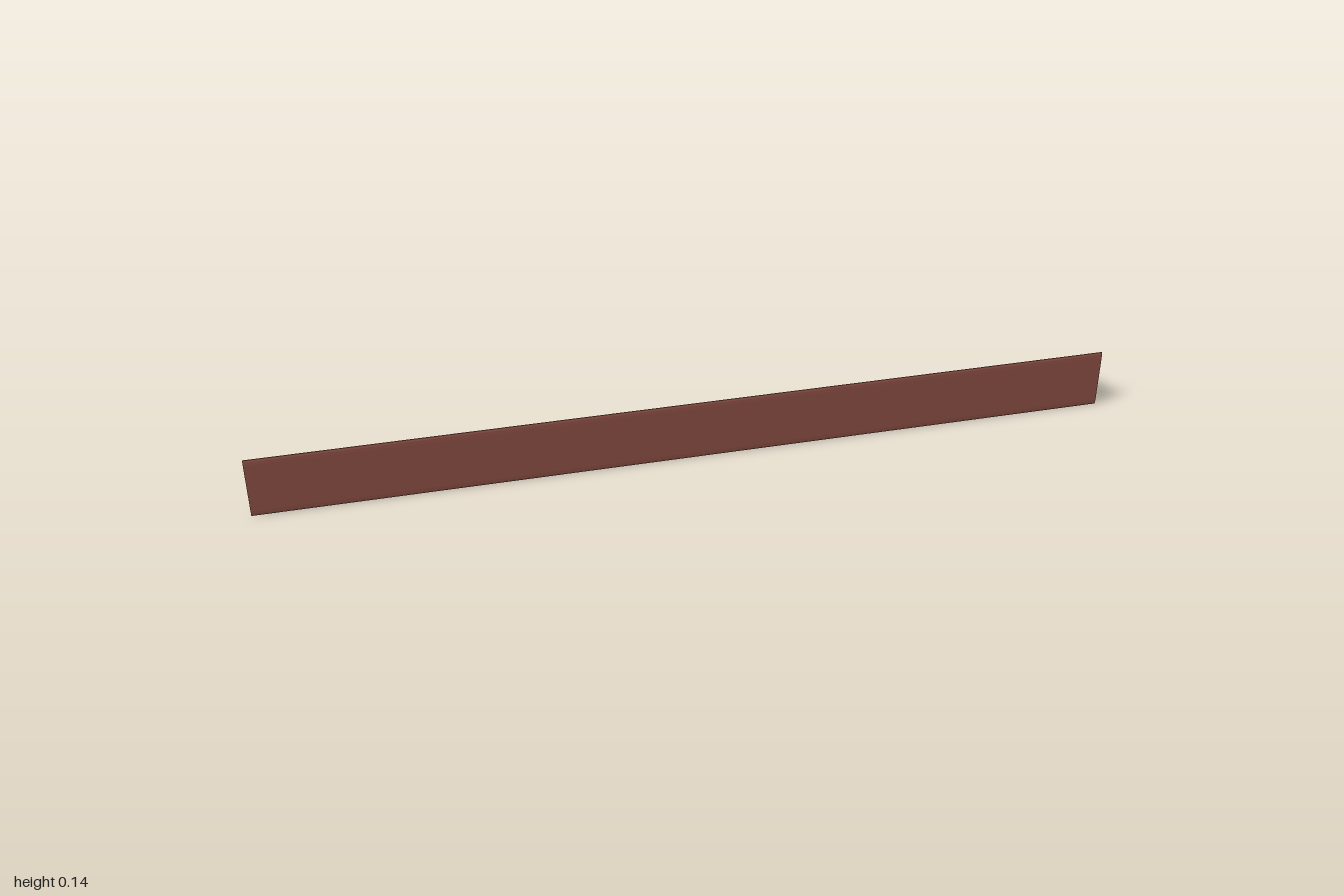
import * as THREE from 'three';

const LENGTH = 2;
const MID = 0.0705; // height of the symmetry axis

// Extrudes a half profile of [z, half height] points, mirrored about the axis, along x
function rail(half, materials, name) {
  const upper = half.map(([z, h]) => new THREE.Vector2(-z, MID + h));
  const lower = half.map(([z, h]) => new THREE.Vector2(-z, MID - h)).reverse();
  const geometry = new THREE.ExtrudeGeometry(new THREE.Shape([...upper, ...lower]), {
    depth: LENGTH, bevelEnabled: false,
  });
  geometry.translate(0, 0, -LENGTH / 2);
  geometry.rotateY(Math.PI / 2);
  const mesh = new THREE.Mesh(geometry, materials);
  mesh.name = name;
  return mesh;
}

export function createModel() {
  const rust = new THREE.MeshStandardMaterial({ color: 0x8a4f43 });
  rust.name = 'rustBrown';
  const worn = new THREE.MeshStandardMaterial({ color: 0x9c6449 });
  worn.name = 'wornBrown';

  const group = new THREE.Group();
  group.name = 'railBar';

  // Wide flange sweeping into the tapered web and the sides of the head
  group.add(rail([
    [0.043, 0.058], [0.0425, 0.066], [0.041, 0.0705], [0.039, 0.0705], [0.0375, 0.066],
    [0.036, 0.054], [0.034, 0.046], [0.029, 0.037], [0.013, 0.0265],
    [-0.025, 0.0135], [-0.029, 0.0148], [-0.034, 0.0148],
  ], rust, 'flangeAndWeb'));

  // Rounded running surface on the head, ends in the body colour
  group.add(rail([
    [-0.034, 0.0148], [-0.038, 0.0125], [-0.041, 0.008], [-0.0425, 0.003],
  ], [rust, worn], 'runningSurface'));

  return group;
}
